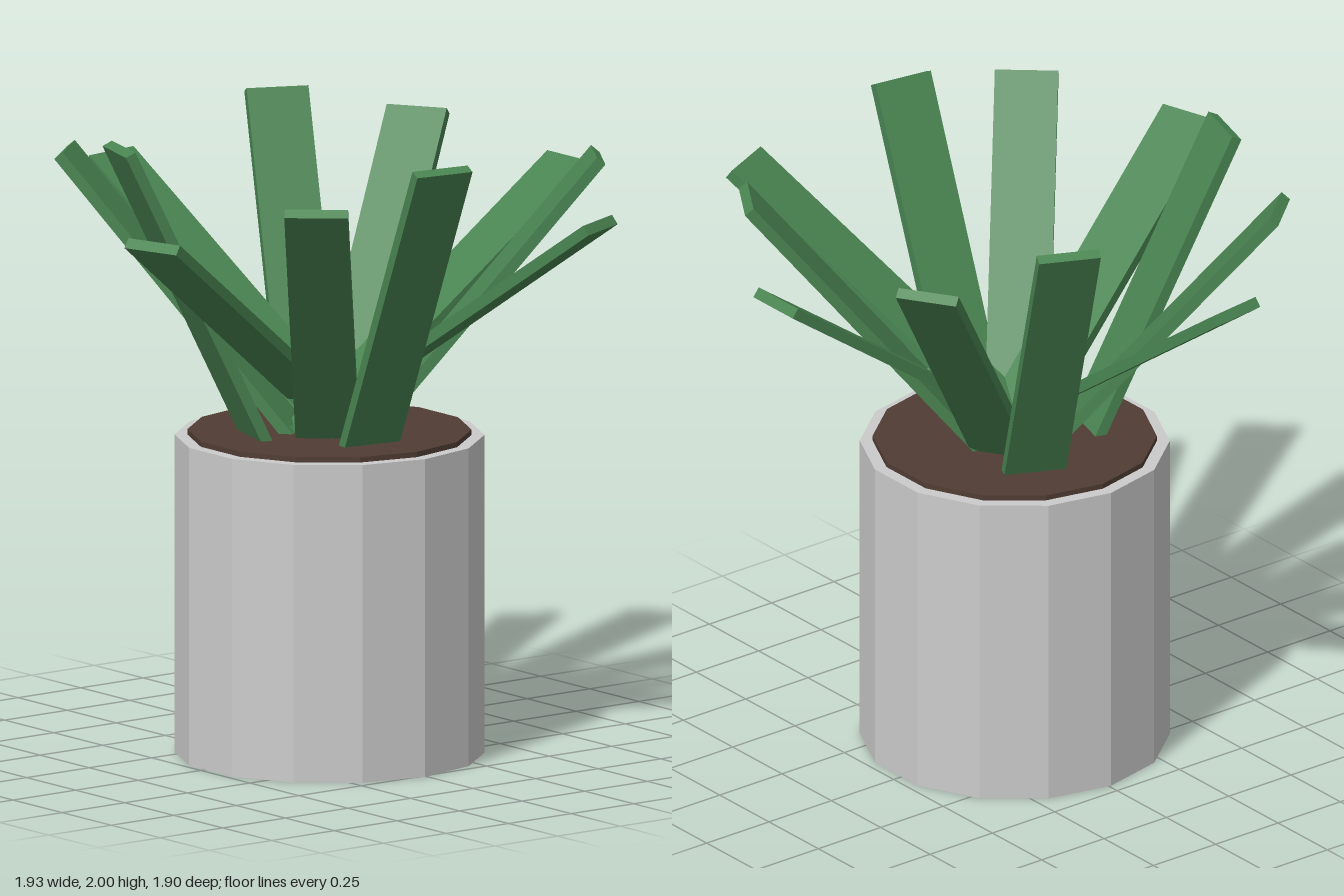
import * as THREE from 'three';

const material = (color) => new THREE.MeshStandardMaterial({ color, flatShading: true });

export function createModel() {
  const model = new THREE.Group();
  model.name = 'pottedPlant';

  const plant = new THREE.Group();
  plant.position.set(-0.007, 0, 0.027);
  model.add(plant);

  const addDisc = (name, radius, bottom, top, mat) => {
    const mesh = new THREE.Mesh(new THREE.CylinderGeometry(radius, radius, top - bottom, 14), mat);
    mesh.position.y = (bottom + top) / 2;
    mesh.name = name;
    plant.add(mesh);
  };

  // Faceted pot with soil standing slightly above its rim
  addDisc('pot', 0.4875, 0, 1.02, material(0xcccccc));
  addDisc('soil', 0.447, 0.98, 1.037, material(0x503d34));

  // Ring of flat leaves, cycling through three tilts
  const leafCount = 11;
  const tilts = [0.95, 0.7, 0.45];
  const leafGeometry = new THREE.BoxGeometry(0.035, 1.3, 0.2);
  const leafMaterial = material(0x4a8552);
  for (let i = 0; i < leafCount; i++) {
    const arm = new THREE.Group();
    arm.name = `leaf${i + 1}`;
    arm.rotation.y = (i / leafCount) * Math.PI * 2;
    const blade = new THREE.Mesh(leafGeometry, leafMaterial);
    blade.name = 'leafBlade';
    blade.position.set(0.43, 1.405, 0);
    blade.rotation.z = -tilts[i % tilts.length];
    arm.add(blade);
    plant.add(arm);
  }
  return model;
}
